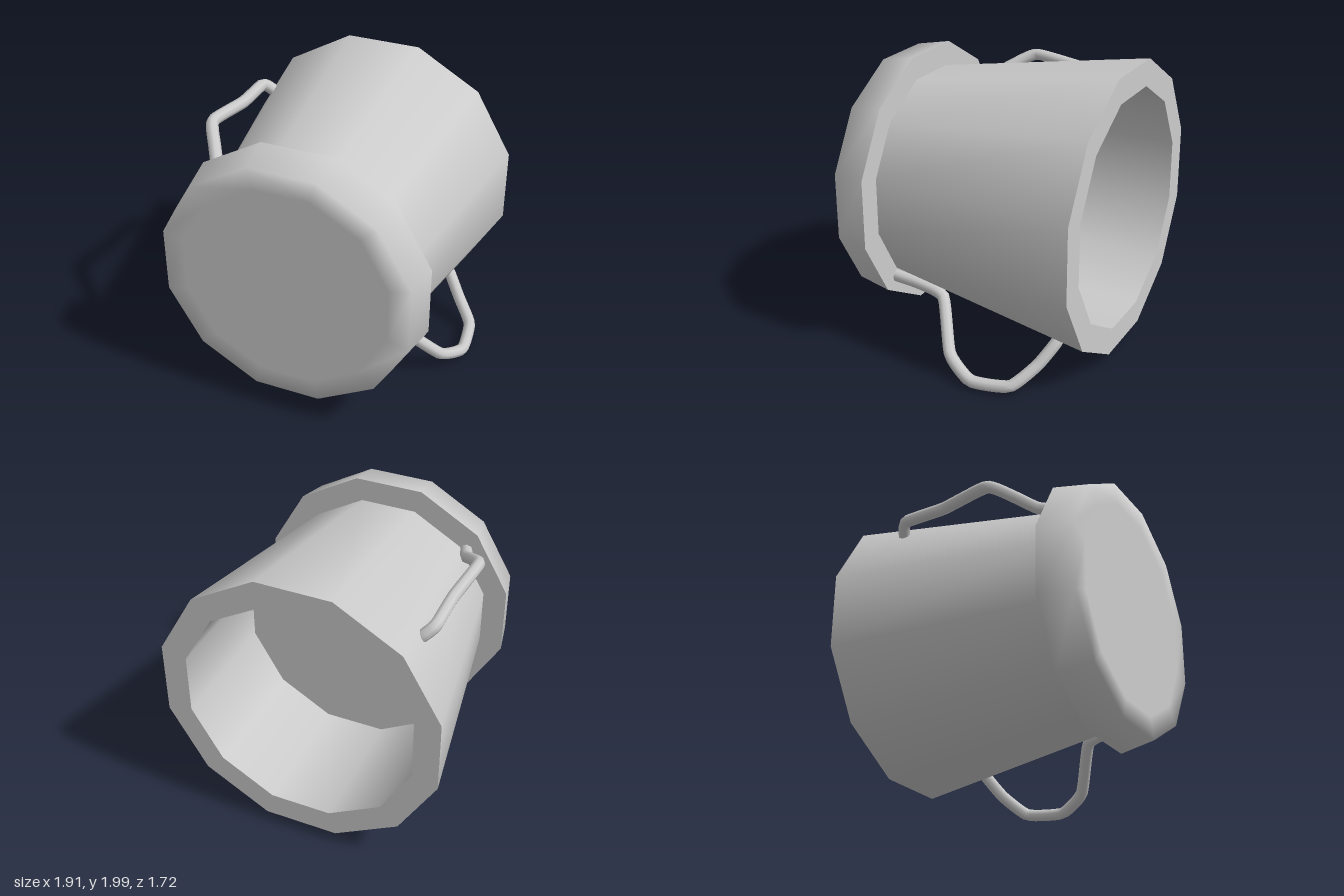
import * as THREE from 'three';

const SIDES = 12;
const CENTRE_Y = 1.045;

export function createModel() {
  const group = new THREE.Group();
  const material = new THREE.MeshStandardMaterial({ color: 0xcccccc });

  const add = (name, geometry) => {
    const mesh = new THREE.Mesh(geometry, material);
    mesh.name = name;
    group.add(mesh);
  };

  // Twelve-sided surface around the z axis; profile points are [radius, z]
  const turn = (name, profile) => {
    const points = profile.map(([r, z]) => new THREE.Vector2(r, z));
    const geometry = new THREE.LatheGeometry(points, SIDES, Math.PI / SIDES);
    geometry.rotateX(Math.PI / 2).translate(0, CENTRE_Y, 0);
    add(name, geometry);
  };

  // Bucket: each section is separate so the edges between them stay sharp
  turn('bucketFloor', [[0, 0.05], [0.81, 0.05]]);
  turn('bucketInnerWall', [[0.81, 0.05], [0.81, -0.86]]);
  turn('bucketRim', [[0.81, -0.86], [0.989, -0.86]]);
  turn('bucketOuterWall', [[0.989, -0.86], [0.75, 0.62]]);

  // Wider base with a softly shaded front edge
  turn('baseUnderside', [[0.74, 0.62], [0.917, 0.62]]);
  turn('base', [[0.917, 0.62], [0.87, 0.86], [0.72, 0.86], [0, 0.86]]);

  // Bent handles, ends sunk into the wall and base
  const handle = (name, path) => {
    const points = path.map((p) => new THREE.Vector3(...p));
    const curve = new THREE.CatmullRomCurve3(points, false, 'catmullrom', 0.25);
    add(name, new THREE.TubeGeometry(curve, 48, 0.042, 8));
  };
  handle('leftHandle', [
    [0.53, 0.46, 0.68], [0.55, 0.45, 0.42], [0.58, 0.41, 0.22], [0.81, 0.14, 0.04],
    [0.91, 0.05, -0.17], [0.88, 0.07, -0.44], [0.75, 0.19, -0.57],
    [0.65, 0.32, -0.65], [0.6, 0.38, -0.67],
  ]);
  handle('rightHandle', [
    [-0.56, 1.55, 0.68], [-0.62, 1.59, 0.5], [-0.7, 1.67, 0.37], [-0.79, 1.75, 0.21],
    [-0.75, 1.72, -0.15], [-0.75, 1.71, -0.45], [-0.71, 1.67, -0.5], [-0.65, 1.61, -0.52],
  ]);

  return group;
}
